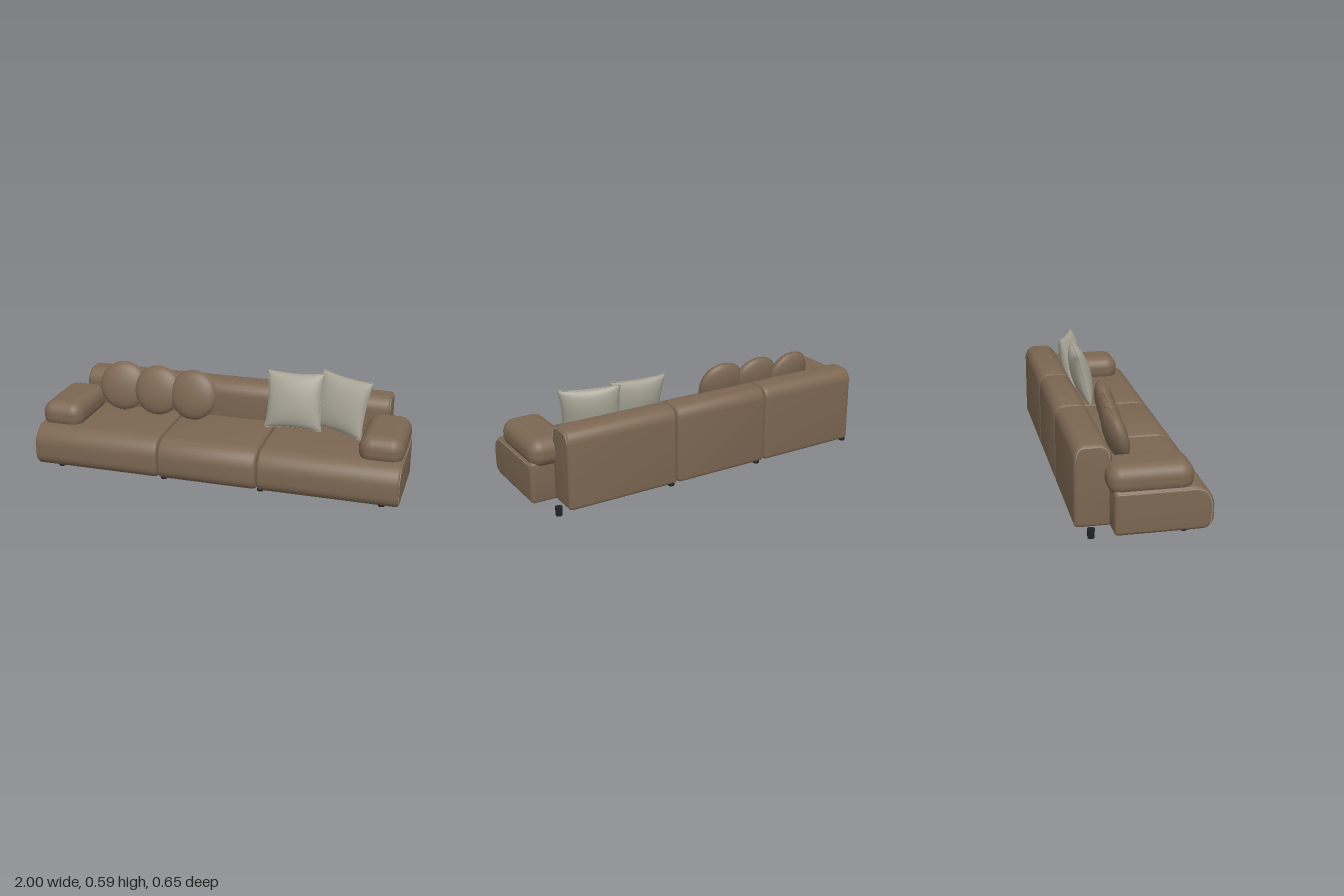
import * as THREE from 'three';
import { toCreasedNormals, mergeGeometries } from 'three/addons/utils/BufferGeometryUtils.js';
import { RoundedBoxGeometry } from 'three/addons/geometries/RoundedBoxGeometry.js';

const material = (name, color) => new THREE.MeshStandardMaterial({ name, color });
const BEVEL = 0.02;

// Side outlines in (z, y), inset by d: front bottom, over the top, rear bottom
function seatOutline(d = 0) {
  const s = new THREE.Shape();
  s.moveTo(0.265, 0.04 + d);
  s.bezierCurveTo(0.3, 0.04 + d, 0.325 - d, 0.07, 0.325 - d, 0.105);
  s.lineTo(0.325 - d, 0.16);
  s.bezierCurveTo(0.325 - d, 0.215, 0.28, 0.262 - d, 0.225, 0.262 - d);
  s.lineTo(-0.135, 0.262 - d);
  s.quadraticCurveTo(-0.155 + d, 0.262 - d, -0.155 + d, 0.24);
  s.lineTo(-0.155 + d, 0.06);
  s.quadraticCurveTo(-0.155 + d, 0.04 + d, -0.135, 0.04 + d);
  return s;
}

function backOutline(d = 0) {
  const s = new THREE.Shape();
  s.moveTo(-0.16, 0.04 + d);
  s.quadraticCurveTo(-0.14 - d, 0.04 + d, -0.14 - d, 0.06);
  s.lineTo(-0.14 - d, 0.38);
  s.bezierCurveTo(-0.14 - d, 0.425, -0.17, 0.457 - d, -0.21, 0.457 - d);
  s.lineTo(-0.265, 0.457 - d);
  s.bezierCurveTo(-0.3, 0.457 - d, -0.325 + d, 0.43, -0.325 + d, 0.39);
  s.lineTo(-0.325 + d, 0.065);
  s.quadraticCurveTo(-0.325 + d, 0.04 + d, -0.3, 0.04 + d);
  return s;
}

// Upholstered block: an outline run from x0 to x1 with rounded ends
function block(outline, x0, x1) {
  const geo = new THREE.ExtrudeGeometry(outline(), {
    depth: x1 - x0 - 2 * BEVEL, curveSegments: 10,
    bevelEnabled: true, bevelSize: BEVEL, bevelThickness: BEVEL, bevelOffset: -BEVEL, bevelSegments: 5,
  });
  geo.rotateY(-Math.PI / 2);
  geo.translate(x1 - BEVEL, 0, 0);
  return toCreasedNormals(geo, 0.7);
}

// Thin welt following an outline at one end of a block
function welt(outline, x) {
  const pts = outline(0.015).getPoints(10).filter((p) => p.y > 0.07)
    .map((p) => new THREE.Vector3(x, p.y, p.x));
  return new THREE.TubeGeometry(new THREE.CatmullRomCurve3(pts), 120, 0.002, 6);
}

// Pillow edge: sides drawn in towards the middle, pointed corners
const edgePoint = (u, v, size) => [
  (size / 2) * u * (1 - 0.07 * (1 - v * v)),
  (size / 2) * v * (1 - 0.07 * (1 - u * u)),
];

function pillowGeometry(size, thickness) {
  const face = new THREE.PlaneGeometry(2, 2, 28, 28);
  const p = face.attributes.position;
  for (let i = 0; i < p.count; i++) {
    const u = Math.sin((p.getX(i) * Math.PI) / 2), v = Math.sin((p.getY(i) * Math.PI) / 2);
    const puff = Math.pow(Math.max(0, (1 - u * u) * (1 - v * v)), 0.45);
    p.setXYZ(i, ...edgePoint(u, v, size), (thickness / 2) * puff);
  }
  face.computeVertexNormals();
  return mergeGeometries([face, face.clone().rotateY(Math.PI)]);
}

function pillowSeam(size) {
  const pts = [];
  const corners = [[-1, -1], [1, -1], [1, 1], [-1, 1]];
  corners.forEach(([u, v], i) => {
    const [u2, v2] = corners[(i + 1) % 4];
    for (let k = 0; k < 8; k++) {
      const t = k / 8;
      pts.push(new THREE.Vector3(...edgePoint(u + (u2 - u) * t, v + (v2 - v) * t, size), 0));
    }
  });
  return new THREE.TubeGeometry(new THREE.CatmullRomCurve3(pts, true), 128, 0.003, 6, true);
}

export function createModel() {
  const brown = material('brown fabric', 0x7c6752);
  const grey = material('grey linen', 0xa8a496);
  const black = material('black leg', 0x222226);
  const sofa = new THREE.Group();
  sofa.name = 'sofa';
  const add = (name, geo, mat, parent = sofa) => {
    const mesh = new THREE.Mesh(geo, mat);
    mesh.name = name;
    parent.add(mesh);
    return mesh;
  };

  // Three seat and back modules
  [[-1, -0.295], [-0.291, 0.251], [0.255, 1]].forEach(([a, b]) => {
    add('seatModule', block(seatOutline, a, b), brown);
    add('backModule', block(backOutline, Math.max(a, -0.875), Math.min(b, 0.872)), brown);
  });

  // Arms and end welts
  for (const side of [-1, 1]) {
    const arm = add(side > 0 ? 'leftArm' : 'rightArm',
      new RoundedBoxGeometry(0.234, 0.153, 0.415, 8, 0.068), brown);
    arm.position.set(side * 0.881, 0.3015, 0.0275);
    add('seatWelt', welt(seatOutline, side * 0.998), grey);
    add('backWelt', welt(backOutline, side > 0 ? 0.87 : -0.873), grey);
  }

  // Legs
  for (const x of [-0.9, -0.292, 0.253, 0.9]) {
    for (const z of [0.202, -0.25]) {
      add('leg', new THREE.CylinderGeometry(0.019, 0.017, 0.047, 20), black).position.set(x, 0.0235, z);
    }
  }

  // Round cushions leaning on the back
  [[-0.62, -0.075, 0.12], [-0.41, -0.055, 0], [-0.197, -0.035, -0.06]].forEach(([x, z, yaw]) => {
    const cushion = new THREE.Group();
    cushion.name = 'roundCushion';
    add('cushionBody', new THREE.SphereGeometry(0.135, 40, 24).rotateX(Math.PI / 2).scale(1, 1, 0.38), brown, cushion);
    add('cushionSeam', new THREE.TorusGeometry(0.135, 0.003, 6, 64), brown, cushion);
    cushion.position.set(x, 0.41, z);
    cushion.rotation.set(-0.25, yaw, 0, 'YXZ');
    sofa.add(cushion);
  });

  // Square pillows
  [[0.365, 0.425, -0.07, -0.05, 0.03], [0.622, 0.428, -0.078, -0.36, -0.05]].forEach(([x, y, z, yaw, roll]) => {
    const pillow = new THREE.Group();
    pillow.name = 'squarePillow';
    add('pillowBody', pillowGeometry(0.31, 0.115), grey, pillow);
    add('pillowSeam', pillowSeam(0.31), grey, pillow);
    pillow.position.set(x, y, z);
    pillow.rotation.set(-0.25, yaw, roll, 'YXZ');
    sofa.add(pillow);
  });

  return sofa;
}
